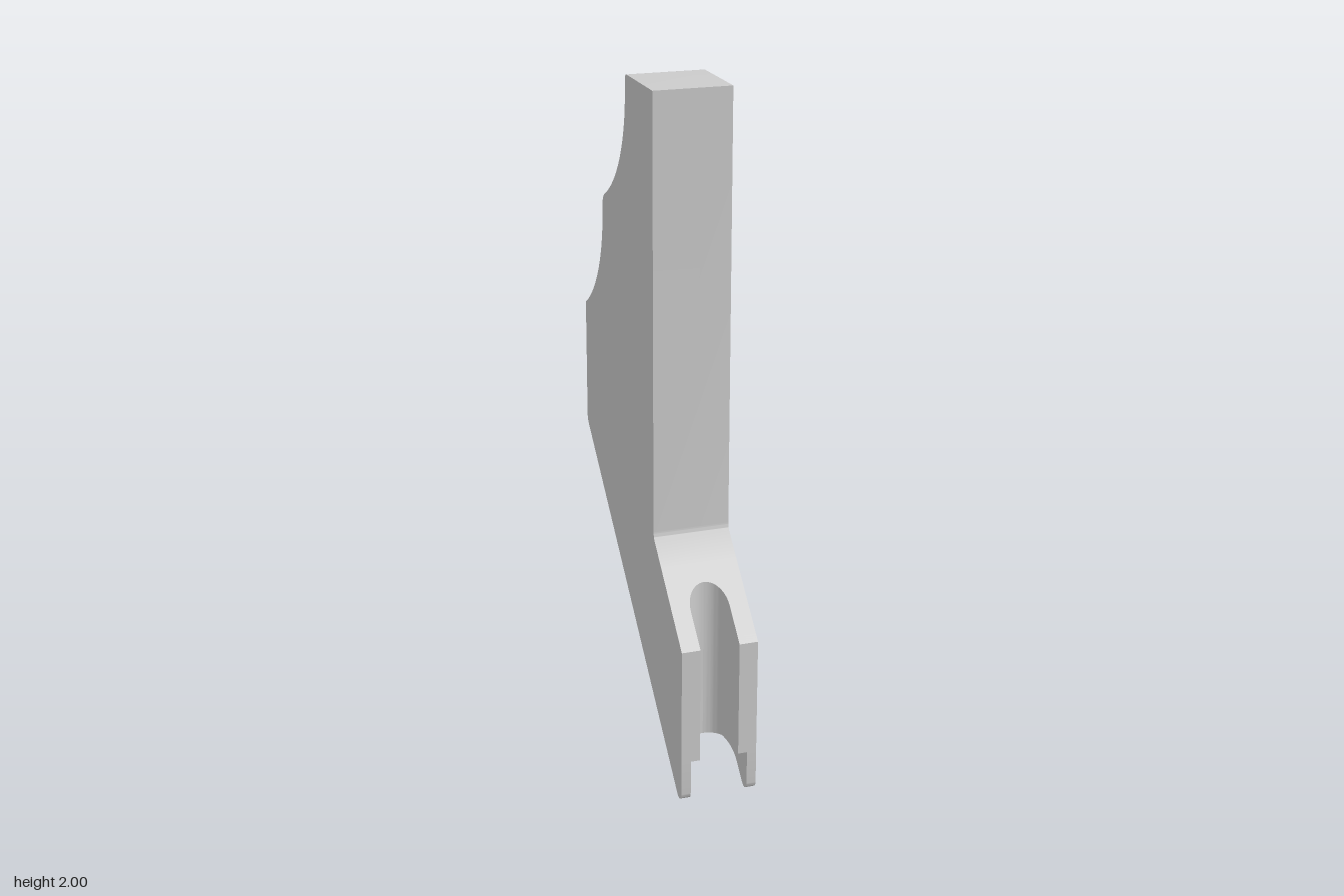
import * as THREE from 'three';
import { toCreasedNormals } from 'three/addons/utils/BufferGeometryUtils.js';

const HALF = 0.113;                    // half the plate thickness
const FRONT = 0.465, BACK = -0.463;    // z limits
const SEAM = 0.28;                     // z where the slotted foot begins
const BOLT_Z = 0.38;                   // centre of the slot and its recess
const SLOT_R = 0.058, RECESS_R = 0.085, RECESS_TOP = 0.125;
const TOE_R = 0.022;                   // rounding of the lowest edge

const material = new THREE.MeshStandardMaterial({ color: 0xcccccc });

// Sloping underside, ending in a rounded toe
function underside(z) {
  const c = FRONT - TOE_R;
  if (z < c - 0.015) return 0.4054 - 0.933 * z;
  return TOE_R - Math.sqrt(Math.max(0, TOE_R * TOE_R - (z - c) ** 2));
}
// Sloping top of the foot
const footTop = z => 0.475 + 0.96 * (FRONT - z);

// Half width at z of a U-shaped cut open to the front
function cutWidth(z, r) {
  if (z >= BOLT_Z) return r;
  return Math.sqrt(Math.max(0, r * r - (z - BOLT_Z) ** 2));
}

// Plate with two concave scallops on its back edge; drawn as (z, y)
function bodyGeometry() {
  const s = new THREE.Shape();
  s.moveTo(SEAM, underside(SEAM));
  s.lineTo(SEAM, footTop(SEAM));
  s.lineTo(0.218, footTop(0.218));
  s.quadraticCurveTo(0.211, 0.72, 0.21, 0.735);
  s.lineTo(0.21, 2);
  s.lineTo(-0.02, 2);
  s.quadraticCurveTo(-0.037, 2, -0.037, 1.975);
  const scallop = (z, y, r, endZ) => {
    const end = -Math.acos((endZ - (z - r)) / r);
    s.absarc(z - r, y, r, 0, end, true);
  };
  scallop(-0.037, 1.95, 0.378, -0.245);
  s.quadraticCurveTo(-0.27, 1.6, -0.27, 1.565);
  scallop(-0.27, 1.555, 0.387, BACK);
  s.lineTo(BACK, 0.855);
  s.quadraticCurveTo(BACK, 0.838, -0.45, underside(-0.45));
  const g = new THREE.ExtrudeGeometry(s, { depth: 2 * HALF, bevelEnabled: false, curveSegments: 20 });
  g.translate(0, 0, -HALF);
  g.rotateY(-Math.PI / 2);
  return toCreasedNormals(g, 0.5);
}

// Stations along z, dense around the two round cut ends and the toe
function stations() {
  const zs = [SEAM, BOLT_Z, (0.4054 - RECESS_TOP) / 0.933];
  for (let i = 0; i < 14; i++) {
    const c = Math.cos((i / 14) * Math.PI / 2);
    zs.push(BOLT_Z - SLOT_R * c, BOLT_Z - RECESS_R * c);
  }
  for (let i = 0; i <= 10; i++) {
    const a = -0.75 + (i / 10) * (0.75 + Math.PI / 2);
    zs.push(FRONT - TOE_R + TOE_R * Math.sin(a));
  }
  return zs.sort((a, b) => a - b).filter((z, i, l) => i === 0 || z - l[i - 1] > 1e-6);
}

// One half of the foot: an L-shaped section swept forwards
function footGeometry(side) {
  const pos = [];
  const tri = (a, b, c) => {
    const n = b.clone().sub(a).cross(c.clone().sub(a));
    if (n.length() < 1e-10) return;
    for (const p of side > 0 ? [a, b, c] : [a, c, b]) pos.push(side * p.x, p.y, p.z);
  };
  const quad = (a, b, c, d) => { tri(a, b, c); tri(a, c, d); };
  const section = z => {
    const slot = cutWidth(z, SLOT_R), recess = cutWidth(z, RECESS_R);
    const low = underside(z), ceiling = Math.max(RECESS_TOP, low), top = footTop(z);
    return [[HALF, top], [HALF, low], [recess, low], [recess, ceiling], [slot, ceiling], [slot, top]]
      .map(([x, y]) => new THREE.Vector3(x, y, z));
  };
  const rings = stations().map(section);
  for (let k = 0; k + 1 < rings.length; k++) {
    const a = rings[k], b = rings[k + 1];
    for (let i = 0; i < 6; i++) {
      const j = (i + 1) % 6;
      // no wall on the centre plane behind the cuts
      if (Math.max(a[i].x, a[j].x, b[i].x, b[j].x) < 1e-6) continue;
      quad(a[i], b[i], b[j], a[j]);
    }
  }
  // front end
  const e = rings[rings.length - 1];
  const q = new THREE.Vector3(HALF, e[3].y, e[3].z);
  quad(e[0], e[5], e[4], q);
  quad(q, e[3], e[2], e[1]);
  const g = new THREE.BufferGeometry();
  g.setAttribute('position', new THREE.Float32BufferAttribute(pos, 3));
  return toCreasedNormals(g, 0.5);
}

export function createModel() {
  const model = new THREE.Group();
  model.name = 'bracket';
  const add = (name, geometry) => {
    const mesh = new THREE.Mesh(geometry, material);
    mesh.name = name;
    model.add(mesh);
  };
  add('scallopedPlate', bodyGeometry());
  add('slottedFootLeft', footGeometry(1));
  add('slottedFootRight', footGeometry(-1));
  return model;
}
